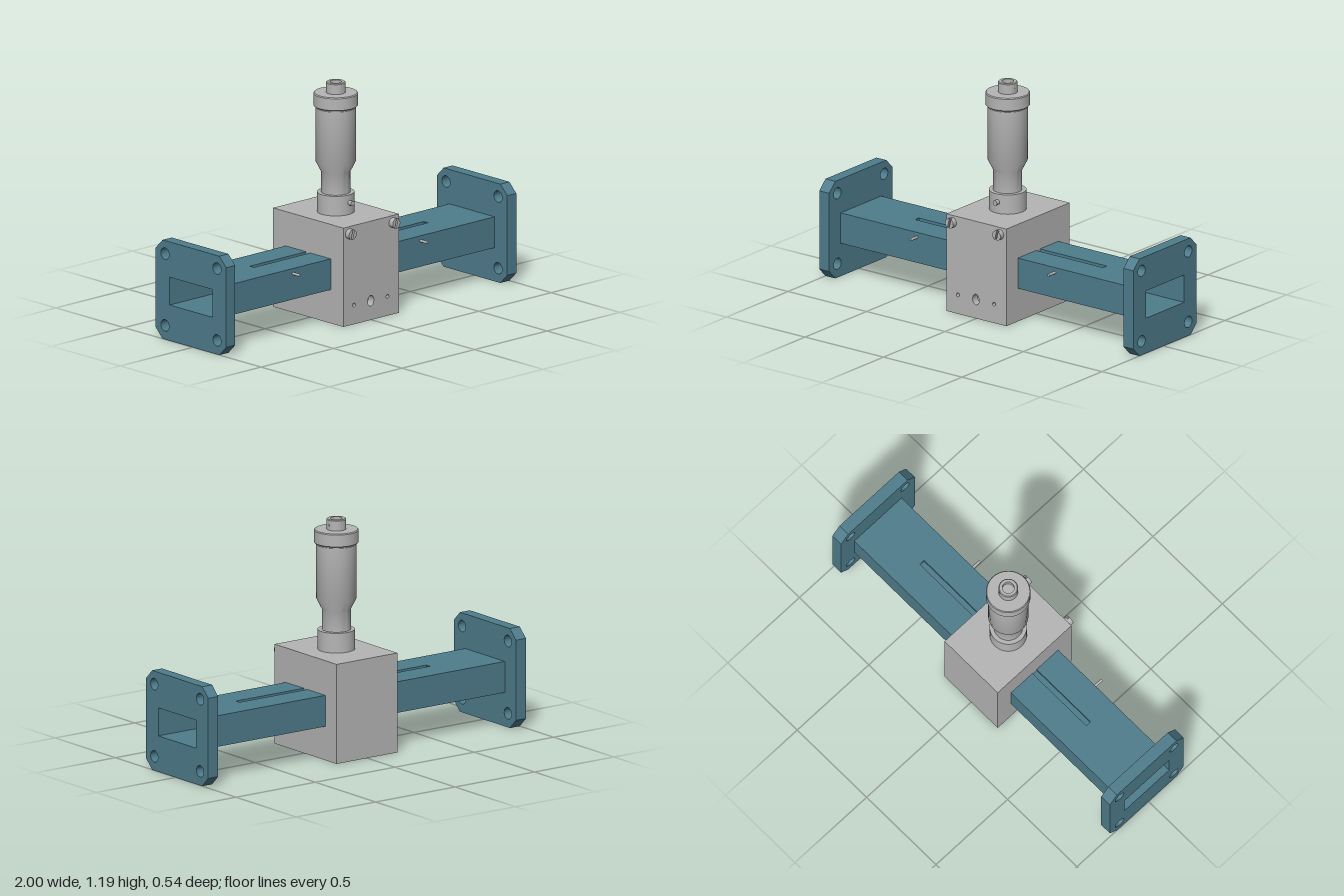
import * as THREE from 'three';
import { toCreasedNormals } from 'three/addons/utils/BufferGeometryUtils.js';

export function createModel() {
  const model = new THREE.Group();
  const body = new THREE.Group();
  body.name = 'waveguideAssembly';
  body.position.z = -0.0125;
  model.add(body);

  const blue = new THREE.MeshStandardMaterial({ color: 0x4e7c8c });
  blue.name = 'bluePaint';
  const grey = new THREE.MeshStandardMaterial({ color: 0xb5b5b5 });
  grey.name = 'greyMetal';

  function add(name, geometry, material, x = 0, y = 0, z = 0) {
    const mesh = new THREE.Mesh(toCreasedNormals(geometry, 0.5), material);
    mesh.name = name;
    mesh.position.set(x, y, z);
    body.add(mesh);
    return mesh;
  }
  const polygon = (pts, Type = THREE.Shape) => new Type(pts.map(p => new THREE.Vector2(...p)));
  function roundHole(x, y, rx, ry = rx) {
    const path = new THREE.Path();
    path.absellipse(x, y, rx, ry, 0, Math.PI * 2, true);
    return path;
  }
  const extrude = (shape, depth) =>
    new THREE.ExtrudeGeometry(shape, { depth, bevelEnabled: false, curveSegments: 16 });
  // Extrude a cross-section along x, from x0 to x1
  const alongX = (shape, x0, x1) => extrude(shape, x1 - x0).rotateY(Math.PI / 2).translate(x0, 0, 0);
  const rod = (r, length) => new THREE.CylinderGeometry(r, r, length, 24).rotateX(Math.PI / 2);

  // Inside opening of the guide
  const IW = 0.156, IB = 0.186, IT = 0.331;
  const opening = () => polygon([[-IW, IB], [-IW, IT], [IW, IT], [IW, IB]], THREE.Path);

  // Square flanges with clipped corners and four bolt holes
  const F = 0.2575, H = 0.515, C = 0.05;
  const flange = polygon([[-F + C, 0], [F - C, 0], [F, C], [F, H - C],
    [F - C, H], [-F + C, H], [-F, H - C], [-F, C]]);
  flange.holes.push(opening());
  for (const u of [-0.19, 0.19]) {
    for (const y of [0.073, 0.447]) flange.holes.push(roundHole(u, y, 0.03));
  }

  // Rectangular tube: plain, and with a channel sunk in its top wall
  const TW = 0.165, TB = 0.175, TT = 0.336, S = 0.015;
  const plain = polygon([[-TW, TB], [TW, TB], [TW, TT], [-TW, TT]]);
  plain.holes.push(opening());
  const slotted = polygon([[-TW, TB], [TW, TB], [TW, TT], [S, TT], [S, 0.322],
    [-S, 0.322], [-S, TT], [-TW, TT]]);
  slotted.holes.push(polygon([[-IW, IB], [-IW, IT], [-S - 0.004, IT], [-S - 0.004, 0.316],
    [S + 0.004, 0.316], [S + 0.004, IT], [IW, IT], [IW, IB]], THREE.Path));

  add('leftFlange', alongX(flange, 0.9375, 1), blue);
  add('rightFlange', alongX(flange, -1, -0.9375), blue);
  add('leftSlottedTube', alongX(slotted, 0.19, 0.62), blue);
  add('leftTube', alongX(plain, 0.62, 0.9375), blue);
  add('rightSlottedTube', alongX(slotted, -0.58, -0.19), blue);
  add('rightTube', alongX(plain, -0.9375, -0.58), blue);

  // Central block with a drilled front
  const B = 0.1915;
  add('centralBlock', new THREE.BoxGeometry(2 * B, H, 2 * F - 0.04), grey, 0, H / 2, -0.02);
  const front = polygon([[-B, 0], [B, 0], [B, H], [-B, H]]);
  front.holes.push(roundHole(-0.003, 0.1, 0.021, 0.028),
    roundHole(-0.118, 0.1, 0.01), roundHole(0.113, 0.1, 0.01));
  add('blockFront', extrude(front, 0.04), grey, 0, 0, F - 0.04);

  // Slotted screws on the block
  for (const x of [-0.152, 0.149]) {
    add('screwBase', rod(0.026, 0.015), grey, x, 0.478, F + 0.0075);
    for (const turn of [0, Math.PI]) {
      const half = new THREE.Shape();
      half.absarc(0, 0, 0.026, -Math.PI / 2 + 0.2, Math.PI / 2 - 0.2, false);
      half.closePath();
      const head = add('screwHead', extrude(half, 0.012), grey, x, 0.478, F + 0.015);
      head.rotation.z = turn - 0.25;
    }
  }

  // Small pins on the front of the tube
  for (const x of [-0.452, 0.428]) add('tubePin', rod(0.007, 0.055), grey, x, 0.31, 0.19);

  // Micrometer: sleeve, neck, thimble, cap and hollow knob
  const profile = [[0, 0.51], [0.094, 0.51], [0.094, 0.617], [0.073, 0.617], [0.073, 0.722],
    [0.101, 0.777], [0.101, 1.058], [0.096, 1.058], [0.096, 1.065], [0.108, 1.065],
    [0.112, 1.069], [0.112, 1.13], [0.108, 1.135], [0.049, 1.135], [0.049, 1.186],
    [0.045, 1.19], [0.03, 1.19], [0.03, 1.165], [0, 1.165]];
  add('micrometer', new THREE.LatheGeometry(
    profile.map(p => new THREE.Vector2(...p)), 48), grey, -0.002);
  add('lockScrew', rod(0.013, 0.04), grey, 0.006, 0.575, 0.095);
  add('knobPin', rod(0.007, 0.006).rotateY(Math.PI / 2), grey, 0.045, 1.16, 0);

  return model;
}
